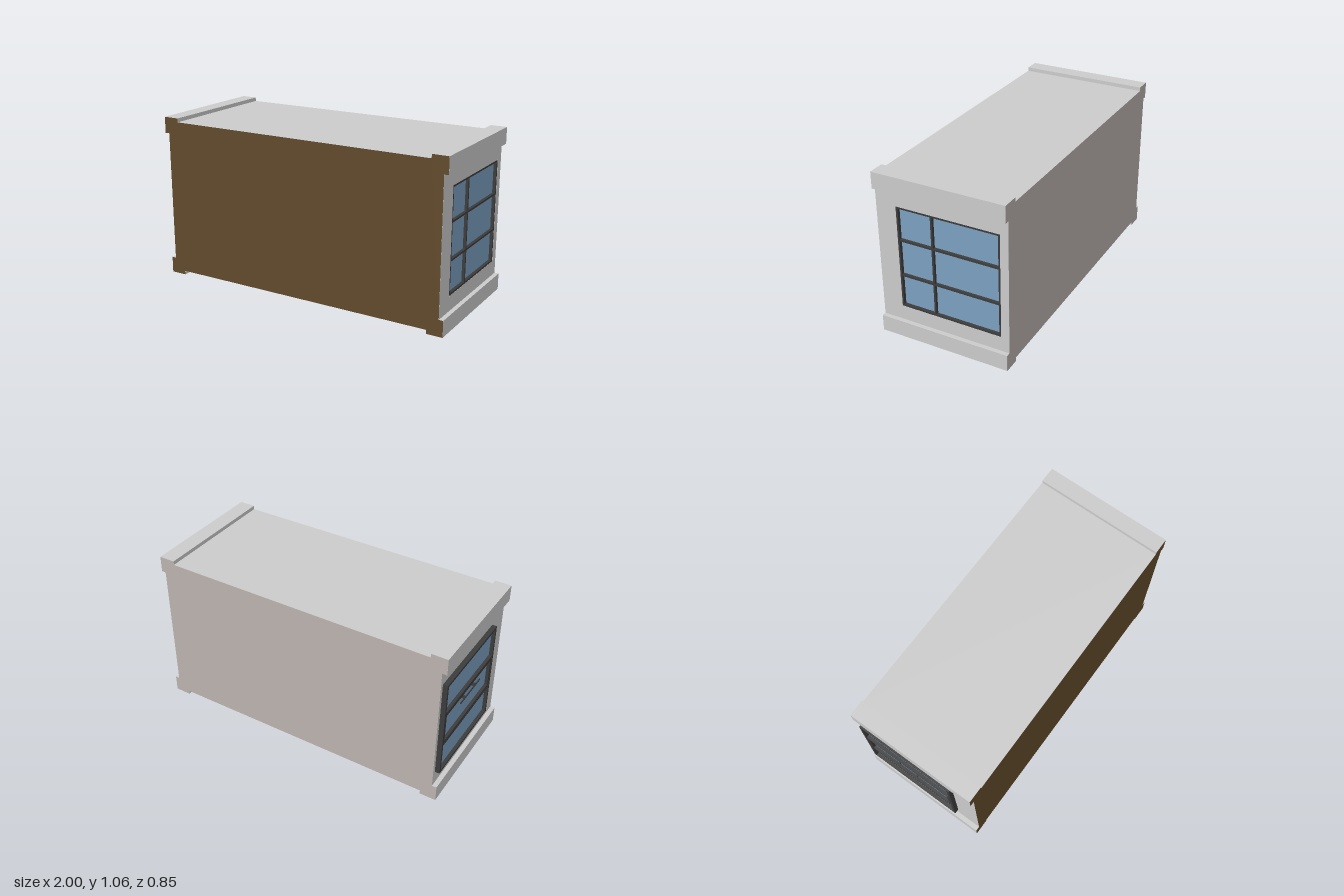
import * as THREE from 'three';

const mat = (color, side = THREE.FrontSide) => new THREE.MeshStandardMaterial({ color, side, flatShading: true });
const GREY = mat(0xcccccc);
const BROWN = mat(0x614a2b);
const TAUPE = mat(0xbab2af);
const DARK = mat(0x3c3c3c);
const GLASS = mat(0x7b9fc0);

function add(parent, name, geometry, material) {
  const mesh = new THREE.Mesh(geometry, material);
  mesh.name = name;
  parent.add(mesh);
  return mesh;
}

// Box given by its min and max corners
function block(parent, name, material, [x0, y0, z0], [x1, y1, z1]) {
  const mesh = add(parent, name, new THREE.BoxGeometry(x1 - x0, y1 - y0, z1 - z0), material);
  mesh.position.set((x0 + x1) / 2, (y0 + y1) / 2, (z0 + z1) / 2);
  return mesh;
}

// Side outline: a box with a thicker lip along each end edge
function outline(rightWall) {
  return new THREE.Shape([
    [-0.99, 0], [-0.885, 0], [-0.885, 0.025], [0.893, 0.025], [0.893, 0], [0.998, 0],
    [0.998, 0.105], [rightWall, 0.105], [rightWall, 0.958], [0.998, 0.958], [0.998, 1.063], [0.893, 1.063],
    [0.893, 1.038], [-0.885, 1.038], [-0.885, 1.063], [-0.99, 1.063], [-0.99, 0.958],
    [-0.96, 0.958], [-0.96, 0.105], [-0.99, 0.105],
  ].map(([x, y]) => new THREE.Vector2(x, y)));
}

// Rectangular frame of four bars in the yz plane
function frame(parent, name, x0, x1, y0, y1, z0, z1, w) {
  block(parent, name + 'Bottom', DARK, [x0, y0, z0], [x1, y0 + w, z1]);
  block(parent, name + 'Top', DARK, [x0, y1 - w, z0], [x1, y1, z1]);
  block(parent, name + 'Back', DARK, [x0, y0 + w, z0], [x1, y1 - w, z0 + w]);
  block(parent, name + 'Front', DARK, [x0, y0 + w, z1 - w], [x1, y1 - w, z1]);
}

export function createModel() {
  const model = new THREE.Group();
  model.name = 'cabin';
  const half = 0.425, recess = 0.946, wall = 0.97;
  const y0 = 0.2, y1 = 0.865, rails = [0.415, 0.648], bar = 0.012;

  // Shell with coloured side panels
  const depth = 2 * half - 0.002;
  const shell = new THREE.ExtrudeGeometry(outline(recess), { depth, bevelEnabled: false });
  add(model, 'shell', shell.translate(0, 0, -depth / 2), GREY);
  const panel = new THREE.ShapeGeometry(outline(wall));
  add(model, 'frontPanel', panel, BROWN).position.z = half;
  const backMaterial = TAUPE.clone();
  backMaterial.side = THREE.BackSide;
  add(model, 'backPanel', panel, backMaterial).position.z = -half;

  // Left end wall with the window opening
  const zA = -0.372, zB = 0.292;
  const rect = (Type, a, b, c, d) => new Type([[a, b], [c, b], [c, d], [a, d]].map(p => new THREE.Vector2(...p)));
  const endShape = rect(THREE.Shape, -half + 0.001, 0.105, half - 0.001, 0.958);
  endShape.holes.push(rect(THREE.Path, -zB, y0, -zA, y1));
  const endWall = new THREE.ExtrudeGeometry(endShape, { depth: wall - recess, bevelEnabled: false });
  add(model, 'endWall', endWall.rotateY(Math.PI / 2).translate(recess, 0, 0), GREY);

  // Six-pane window set into the end wall
  const grid = new THREE.Group();
  grid.name = 'gridWindow';
  model.add(grid);
  block(grid, 'glass', GLASS, [recess - 0.01, y0, zA], [recess + 0.003, y1, zB]);
  frame(grid, 'frame', recess, wall - 0.001, y0, y1, zA, zB, bar);
  for (const y of rails)
    block(grid, 'rail', DARK, [recess, y - bar / 2, zA + bar], [wall - 0.002, y + bar / 2, zB - bar]);
  block(grid, 'mullion', DARK, [recess, y0 + bar, 0.057], [wall - 0.003, y1 - bar, 0.069]);

  // Three-pane window standing proud of the opposite end
  const stack = new THREE.Group();
  stack.name = 'ventWindow';
  model.add(stack);
  const out = -0.99, inn = -0.96, zC = -0.4, zD = 0.262;
  block(stack, 'glass', GLASS, [-0.968, y0 + bar, zC + bar], [inn, y1 - bar, zD - bar]);
  frame(stack, 'frame', out, inn, y0, y1, zC, zD, 0.016);
  for (const y of rails)
    block(stack, 'rail', DARK, [out + 0.001, y - bar / 2, zC + 0.016], [inn, y + bar / 2, zD - 0.016]);

  // Opening sash in the middle, with its handle
  frame(stack, 'sash', out + 0.002, inn, rails[0] + 0.006, rails[1] - 0.006, zC + 0.016, zD - 0.016, 0.016);
  block(stack, 'handleBar', DARK, [-0.998, 0.596, -0.2], [-0.992, 0.604, 0.065]);
  for (const z of [-0.135, 0])
    block(stack, 'handlePost', DARK, [-0.994, 0.59, z - 0.005], [-0.966, 0.61, z + 0.005]);

  return model;
}
